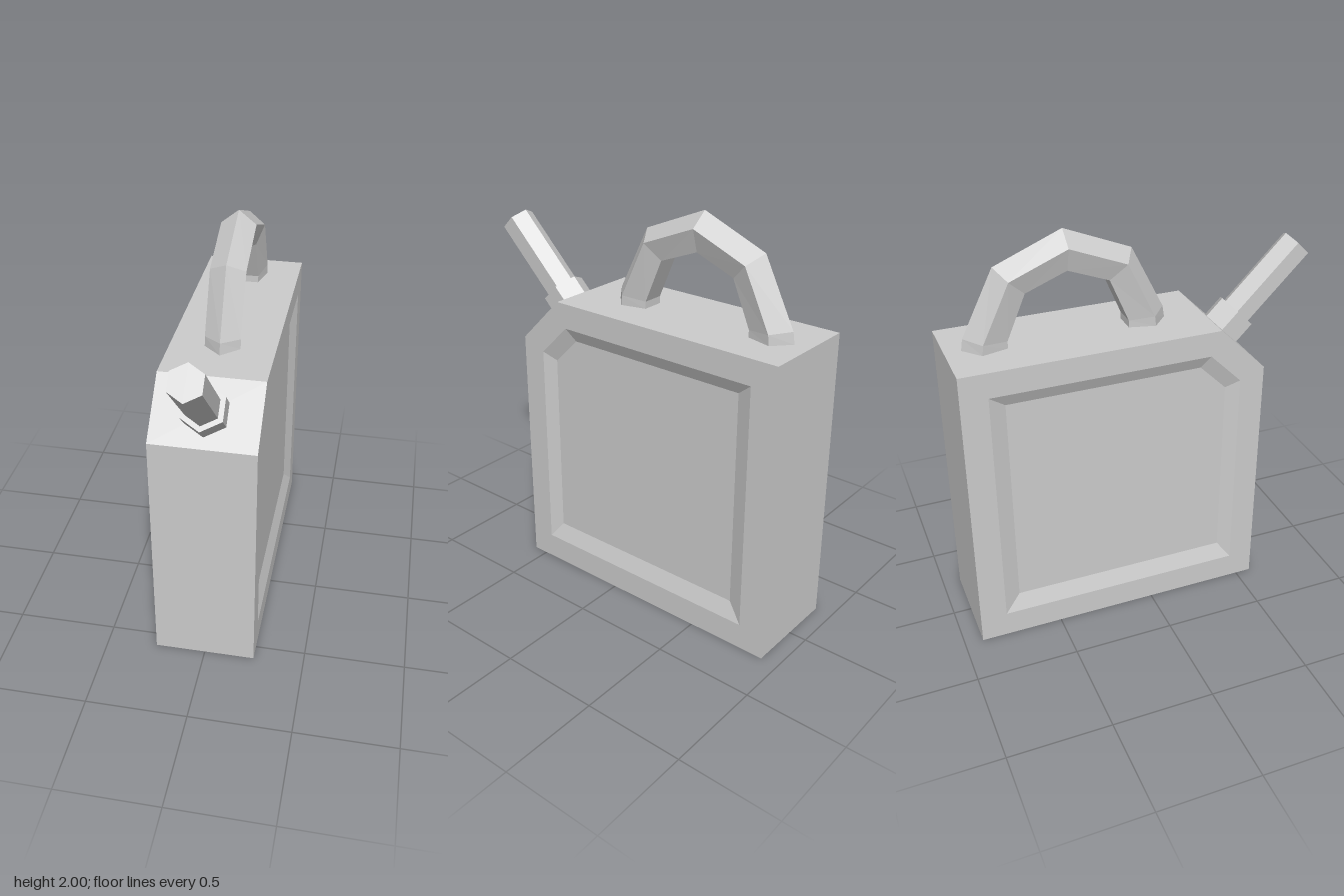
import * as THREE from 'three';

const material = new THREE.MeshStandardMaterial({ color: 0xcccccc, flatShading: true });

// Skin through equal-length closed rings of [x, y, z], capped at both ends.
// Each ring runs counter-clockwise as seen from outside the first end.
function loft(rings) {
  const pos = [];
  const tri = (a, b, c) => pos.push(...a, ...b, ...c);
  const n = rings[0].length;
  const last = rings[rings.length - 1];
  for (let i = 0; i < rings.length - 1; i++) {
    const a = rings[i], b = rings[i + 1];
    for (let j = 0; j < n; j++) {
      const k = (j + 1) % n;
      tri(a[j], b[j], b[k]);
      tri(a[j], b[k], a[k]);
    }
  }
  for (let j = 1; j < n - 1; j++) {
    tri(rings[0][0], rings[0][j], rings[0][j + 1]);
    tri(last[0], last[j + 1], last[j]);
  }
  const geometry = new THREE.BufferGeometry();
  geometry.setAttribute('position', new THREE.Float32BufferAttribute(pos, 3));
  geometry.computeVertexNormals();
  return geometry;
}

function addMesh(parent, name, geometry) {
  const mesh = new THREE.Mesh(geometry, material);
  mesh.name = name;
  parent.add(mesh);
  return mesh;
}

// Rectangle in [z, y] with its top front corner cut off
function outline(front, back, bottom, top, cutY, cutZ) {
  return [[front, bottom], [back, bottom], [back, top], [cutZ, top], [front, cutY]];
}

export function createModel() {
  const model = new THREE.Group();
  model.name = 'fuelCan';

  // Can body with a bevelled recess in each broad side
  const body = outline(0.58, -0.91, 0, 1.49, 1.255, 0.345);
  const rim = outline(0.455, -0.78, 0.13, 1.365, 1.205, 0.295);
  const floor = outline(0.39, -0.7, 0.215, 1.3, 1.165, 0.255);
  const at = (loop, x) => loop.map(([z, y]) => [x, y, z]);
  addMesh(model, 'canBody', loft([
    at(floor, 0.22), at(rim, 0.25), at(body, 0.25),
    at(body, -0.25), at(rim, -0.25), at(floor, -0.22),
  ]));

  // Arched carrying handle: pentagonal section with its ridge outwards
  // Half arch as [outer z, outer y, inner z, inner y], measured from its middle
  const half = [
    [0.494, 1.49, 0.292, 1.49],
    [0.485, 1.547, 0.292, 1.525],
    [0.327, 1.865, 0.2, 1.742],
    [0, 2, 0, 1.82],
  ];
  const mirrored = half.slice(0, 3).reverse().map(([oz, oy, iz, iy]) => [-oz, oy, -iz, iy]);
  const section = [[0, 0], [-0.085, 0.38], [-0.054, 1], [0.054, 1], [0.085, 0.38]];
  const rings = [...half, ...mirrored].map(([oz, oy, iz, iy]) =>
    section.map(([x, t]) => [x, oy + (iy - oy) * t, oz + (iz - oz) * t]));
  const handle = addMesh(model, 'handle', loft(rings));
  handle.position.z = -0.337;

  // Six-sided spout and collar, standing square on the cut corner
  const spout = new THREE.Group();
  spout.name = 'spoutAssembly';
  spout.position.set(0, 1.3725, 0.4625);
  spout.rotation.x = Math.PI / 4;
  model.add(spout);
  const hexRod = (name, radius, height) =>
    addMesh(spout, name, new THREE.CylinderGeometry(radius, radius, height, 6).translate(0, height / 2, 0));
  hexRod('spoutCollar', 0.111, 0.115);
  hexRod('spout', 0.084, 0.55);

  return model;
}
